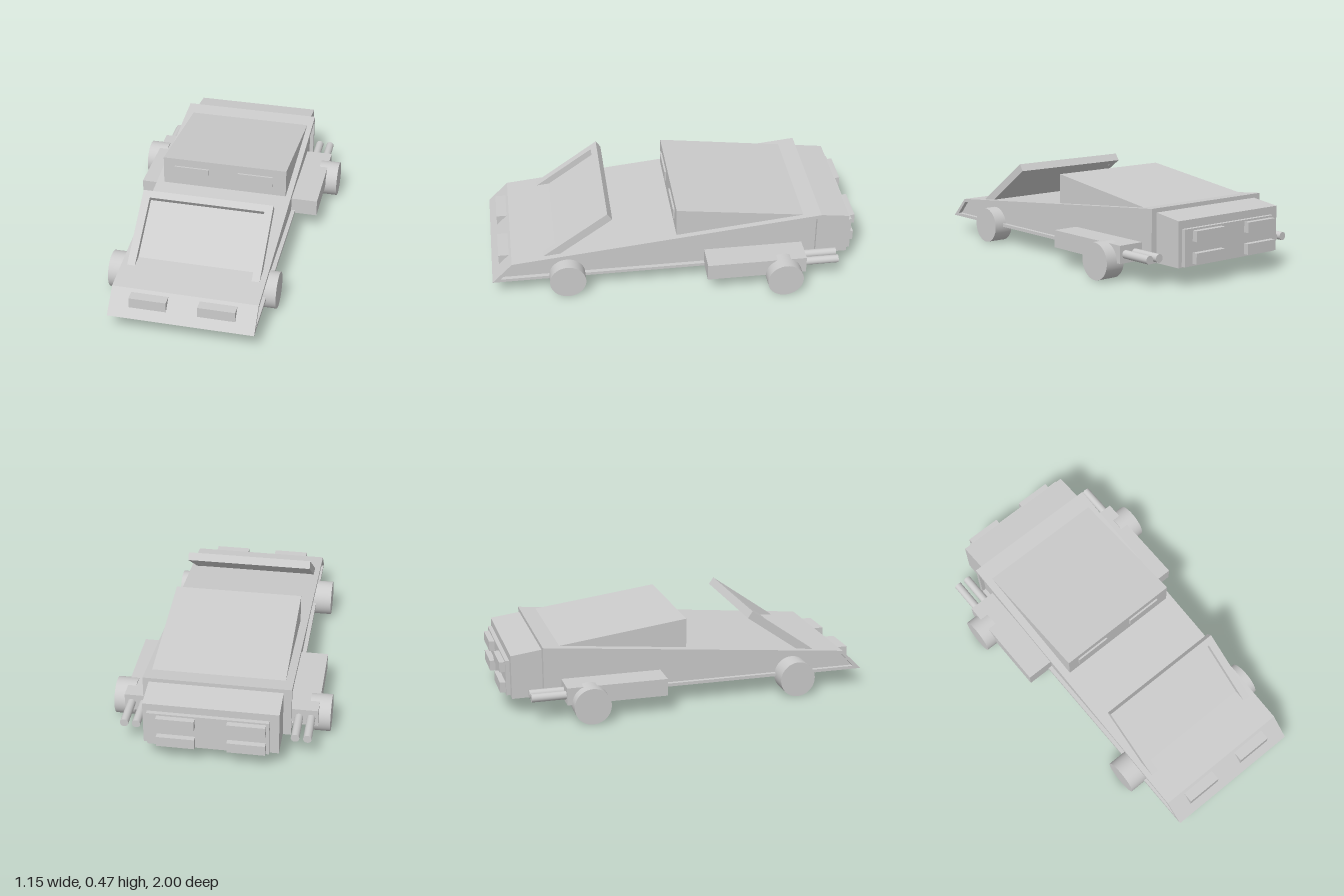
import * as THREE from 'three';

const material = new THREE.MeshStandardMaterial({ color: 0xcccccc });

export function createModel() {
  const model = new THREE.Group();
  model.name = 'wedgeCar';

  const add = (name, geometry) => {
    const mesh = new THREE.Mesh(geometry, material);
    mesh.name = name;
    model.add(mesh);
    return mesh;
  };
  // Box given by its limits on each axis
  const box = (name, x0, x1, y0, y1, z0, z1) =>
    add(name, new THREE.BoxGeometry(x1 - x0, y1 - y0, z1 - z0))
      .position.set((x0 + x1) / 2, (y0 + y1) / 2, (z0 + z1) / 2);
  const points = (list) => list.map(([a, b]) => new THREE.Vector2(a, b));
  // Side profile of [z, y] points, extruded across x
  const slab = (name, profile, x0, x1, hole) => {
    const shape = new THREE.Shape(points(profile));
    if (hole) shape.holes.push(new THREE.Path(points(hole)));
    const g = new THREE.ExtrudeGeometry(shape, { depth: x1 - x0, bevelEnabled: false });
    g.rotateY(-Math.PI / 2).translate(x1, 0, 0);
    add(name, g);
  };

  // Wedge body: a core between two side frames, so the sides are recessed
  const outer = [[1, 0.095], [0.89, 0.206], [-0.785, 0.374], [-0.785, 0.095]];
  const inner = [[0.955, 0.112], [0.885, 0.188], [-0.763, 0.35], [-0.763, 0.112]];
  const recess = 0.022;
  slab('body', outer, -0.384 + recess, 0.384 - recess);
  slab('rightSideFrame', outer, -0.384, -0.384 + recess, inner);
  slab('leftSideFrame', outer, 0.384 - recess, 0.384, inner);

  // Rear cabin and tail form one sloping block
  slab('cabin', [[0, 0.1], [0, 0.455], [-0.948, 0.331], [-0.948, 0.095]], -0.342, 0.353);
  box('rearPanel', -0.294, 0.33, 0.1, 0.29, -0.97, -0.94);

  // Lamps, repeated on both sides
  for (const [x0, x1] of [[-0.278, -0.082], [0.082, 0.278]]) {
    box('headlight', x0, x1, 0.135, 0.192, 0.87, 0.96);
    box('cabinLight', x0, x1, 0.35, 0.41, -0.02, 0.01);
    box('upperTailLight', x0, x1, 0.225, 0.28, -1, -0.96);
    box('lowerTailLight', x0, x1, 0.112, 0.168, -1, -0.96);
  }

  // Leaning windshield frame, open at the foot, with a recessed pane
  const windshield = new THREE.Group();
  windshield.name = 'windshield';
  const frameShape = new THREE.Shape(points([
    [-0.353, -0.04], [-0.311, -0.04], [-0.311, 0.388], [0.311, 0.388],
    [0.311, -0.04], [0.353, -0.04], [0.353, 0.428], [-0.353, 0.428],
  ]));
  const frame = new THREE.Mesh(
    new THREE.ExtrudeGeometry(frameShape, { depth: 0.045, bevelEnabled: false }).translate(0, 0, -0.045), material);
  frame.name = 'windshieldFrame';
  const pane = new THREE.Mesh(new THREE.BoxGeometry(0.63, 0.41, 0.01), material);
  pane.name = 'windshieldPane';
  pane.position.set(0, 0.185, -0.039);
  windshield.add(frame, pane);
  windshield.rotation.x = -THREE.MathUtils.degToRad(55);
  windshield.position.set(0, 0.223, 0.72);
  model.add(windshield);

  // Wheels
  const wheels = [
    ['frontRightWheel', -0.416, 0.597], ['frontLeftWheel', 0.379, 0.597],
    ['rearRightWheel', -0.52, -0.565], ['rearLeftWheel', 0.518, -0.565],
  ];
  for (const [name, x, z] of wheels) {
    add(name, new THREE.CylinderGeometry(0.0975, 0.0975, 0.11, 48).rotateZ(Math.PI / 2))
      .position.set(x, 0.0975, z);
  }

  // Side pods with twin exhaust pipes
  box('rightSidePod', -0.513, -0.35, 0.095, 0.188, -0.688, -0.15);
  box('leftSidePod', 0.35, 0.508, 0.095, 0.188, -0.688, -0.15);
  for (const x of [-0.477, -0.414, 0.409, 0.472]) {
    add('exhaustPipe', new THREE.CylinderGeometry(0.022, 0.022, 0.25, 24).rotateX(Math.PI / 2))
      .position.set(x, 0.14, -0.745);
  }
  return model;
}
